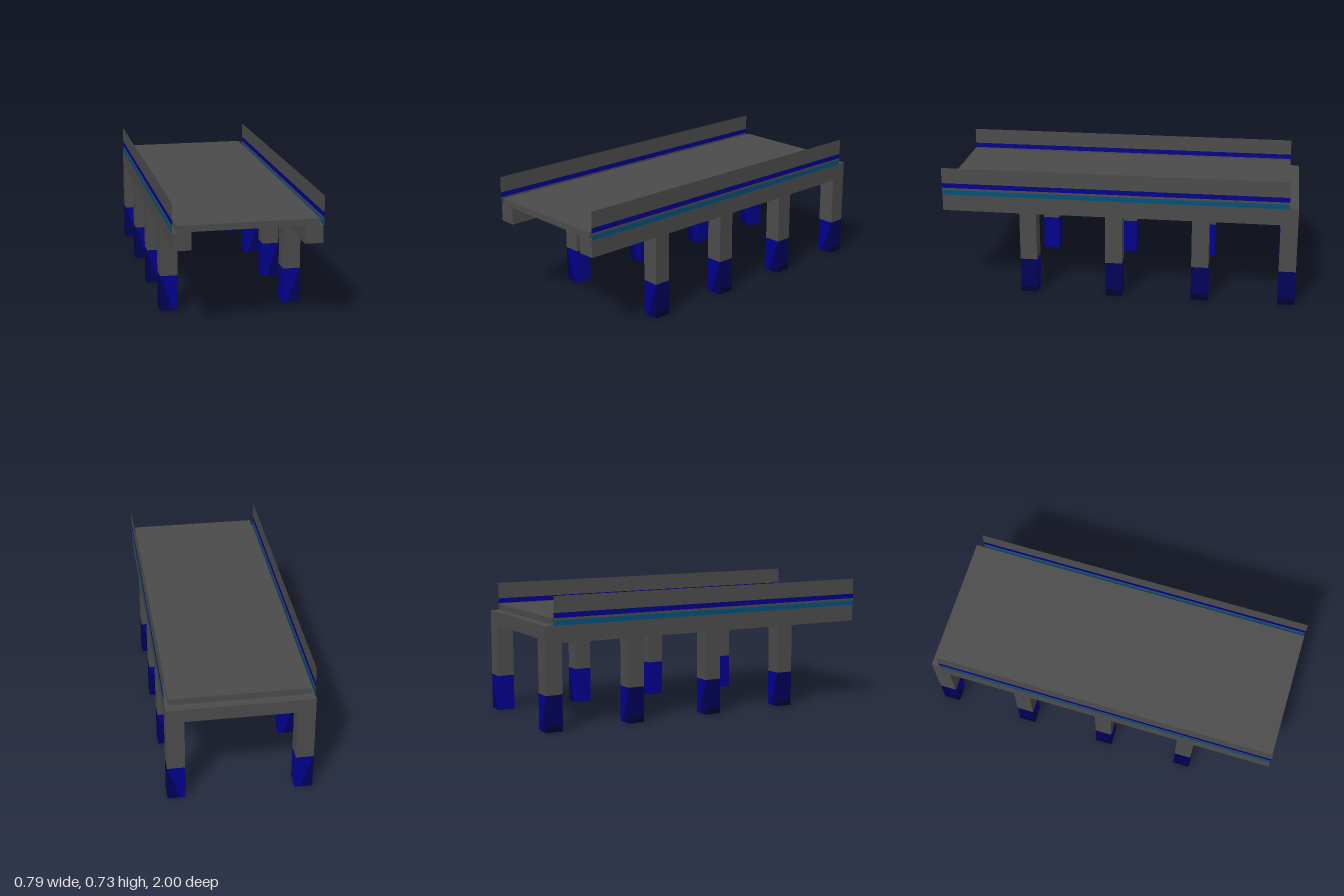
import * as THREE from 'three';

function paint(name, color) {
  const material = new THREE.MeshStandardMaterial({ color, side: THREE.DoubleSide });
  material.name = name;
  return material;
}
const concrete = paint('concrete grey', 0x4b4b4b);
const blue = paint('deep blue', 0x00008b);
const navy = paint('navy blue', 0x000058);
const midnight = paint('midnight blue', 0x00002e);
const teal = paint('dark teal', 0x005078);

// Overall dimensions
const OUT = 0.394, IN = 0.297, PANEL_X = 0.397, BEAM_LOW = 0.475, BEAM_TOP = 0.572;
const POST_W = OUT - IN, POST_D = 0.096, FOOT_H = 0.2, BAND_H = 0.035;
const POST_Z = [0.512, 0.024, -0.464, -0.952];

export function createModel() {
  const group = new THREE.Group();
  group.name = 'elevatedDeck';

  function add(geometry, material, name) {
    const mesh = new THREE.Mesh(geometry, material);
    mesh.name = name;
    group.add(mesh);
    return mesh;
  }

  // Box given by its minimum and maximum on each axis
  function box(name, x0, x1, y0, y1, z0, z1) {
    const g = new THREE.BoxGeometry(x1 - x0, y1 - y0, z1 - z0);
    add(g, concrete, name).position.set((x0 + x1) / 2, (y0 + y1) / 2, (z0 + z1) / 2);
  }

  // Upright rectangle facing sideways, s = side it faces
  function sidePlate(name, material, s, x, y0, y1, z, length) {
    const mesh = add(new THREE.PlaneGeometry(length, y1 - y0), material, name);
    mesh.rotation.y = s * Math.PI / 2;
    mesh.position.set(x, (y0 + y1) / 2, z);
  }

  // Flat outline facing front or back, mirrored by s
  function endPlate(name, material, s, points, z, facing) {
    const shape = new THREE.Shape(points.map(([x, y]) => new THREE.Vector2(s * facing * x, y)));
    const mesh = add(new THREE.ShapeGeometry(shape), material, name);
    mesh.rotation.y = facing > 0 ? 0 : Math.PI;
    mesh.position.z = z;
  }

  // Hollow foot: blue with a navy outer side and a midnight band at the ground
  function foot(s, z) {
    sidePlate('footInnerSide', blue, -s, s * IN, 0, FOOT_H, z, POST_D);
    sidePlate('footOuterSide', navy, s, s * OUT, BAND_H, FOOT_H, z, POST_D);
    sidePlate('footBand', midnight, s, s * OUT, 0, BAND_H, z, POST_D);
    for (const f of [-1, 1]) {
      const zf = z + f * POST_D / 2;
      endPlate('footEnd', blue, s, [[IN, 0], [0.324, 0], [OUT, FOOT_H], [IN, FOOT_H]], zf, f);
      endPlate('footEndWedge', navy, s, [[0.324, 0], [OUT, 0], [OUT, FOOT_H]], zf, f);
    }
  }

  // Deck slab
  box('deckSlab', -0.375, 0.375, BEAM_TOP, 0.608, -0.95, 1);

  // Cross beams between opposite posts
  for (const z of POST_Z) {
    box('crossBeam', -IN, IN, 0.495, BEAM_TOP, z - POST_D / 2, z + POST_D / 2);
  }

  // Strips of each side panel, bottom to top
  const strips = [
    ['tealStripe', teal, 0.57, 0.597],
    ['panelGap', concrete, 0.597, 0.61],
    ['blueStripe', blue, 0.61, 0.637],
    ['sidePanel', concrete, 0.637, 0.727],
  ];

  for (const s of [-1, 1]) {
    // Long edge beam
    const a = s > 0 ? IN : -OUT, b = s > 0 ? OUT : -IN;
    box('edgeBeam', a, b, BEAM_LOW, BEAM_TOP, -1, 1);

    // Posts
    for (const z of POST_Z) {
      box('post', a, a + POST_W, FOOT_H, BEAM_LOW, z - POST_D / 2, z + POST_D / 2);
      foot(s, z);
    }

    // Thin side panel with stripes
    for (const [name, material, y0, y1] of strips) {
      sidePlate(name, material, s, s * PANEL_X, y0, y1, 0.025, 1.95);
    }
  }
  return group;
}
